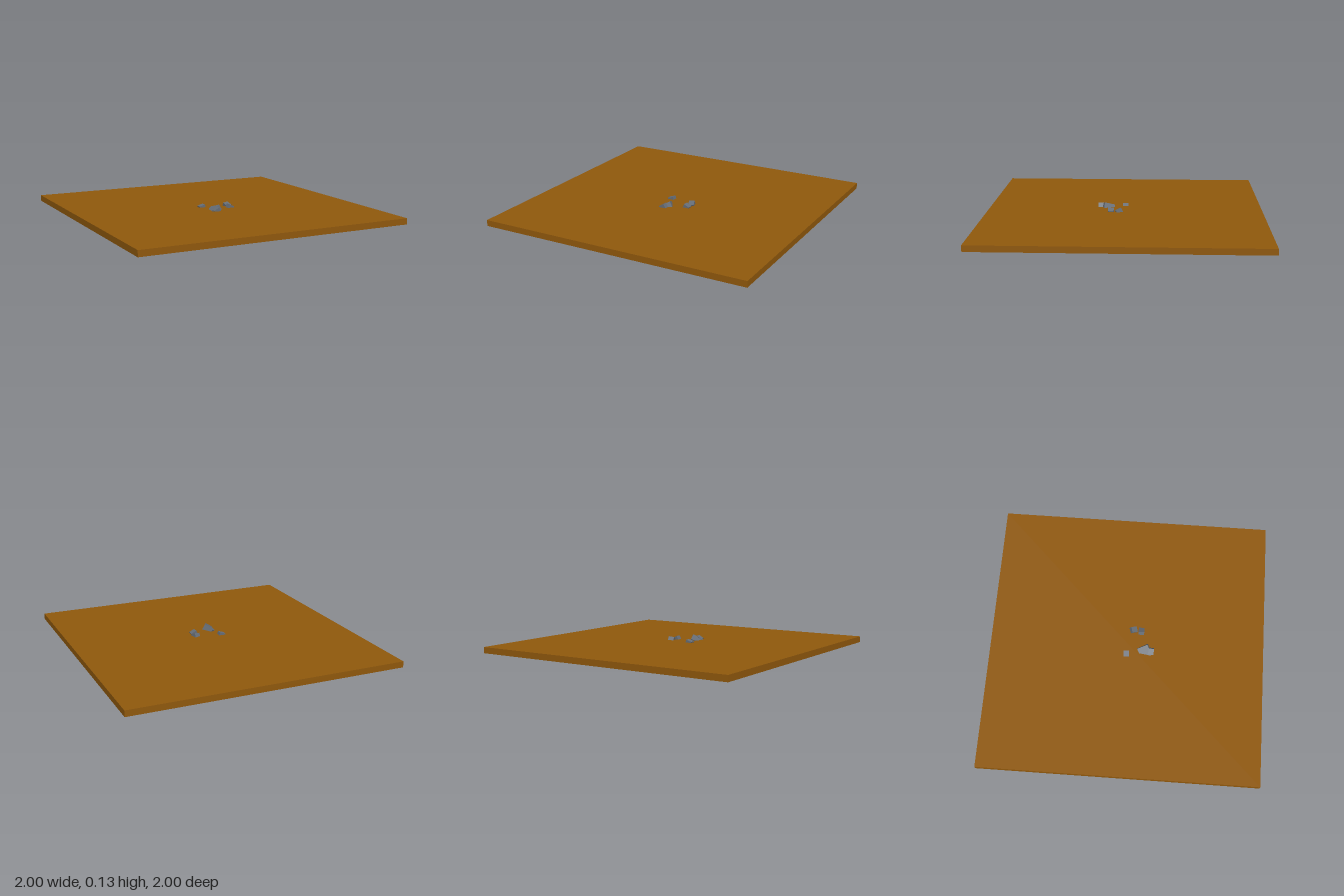
import * as THREE from 'three';

export function createModel() {
  const group = new THREE.Group();
  const earth = new THREE.MeshStandardMaterial({ color: 0x8f580c });
  earth.name = 'earth brown';
  const stone = new THREE.MeshStandardMaterial({ color: 0x656c75 });
  stone.name = 'stone grey';

  function box(name, material, size, position, rotation = [0, 0, 0]) {
    const mesh = new THREE.Mesh(new THREE.BoxGeometry(...size), material);
    mesh.name = name;
    mesh.position.set(...position);
    mesh.rotation.set(...rotation);
    group.add(mesh);
    return mesh;
  }

  // flat ground slab
  box('groundSlab', earth, [2, 0.044, 2], [0, 0.07, 0]);

  // small tilted stones half sunk into the slab
  box('backRightStone', stone, [0.045, 0.045, 0.04], [-0.083, 0.085, 0], [0, 0, 0.3]);
  box('frontRightStone', stone, [0.045, 0.045, 0.04], [-0.052, 0.09, 0.18], [0, 0, 0.55]);
  box('frontLeftStone', stone, [0.045, 0.07, 0.042], [0.087, 0.077, 0.1], [0, 0, -0.45]);
  box('backLeftStone', stone, [0.042, 0.07, 0.045], [0.102, 0.077, 0.033], [0.45, 0.3, 0]);

  // large stone balanced on one corner, leaning to the left
  const big = box('largeStone', stone, [0.082, 0.082, 0.082], [-0.045, 0.066, 0.135]);
  const up = new THREE.Vector3(0, 1, 0);
  const diagonal = new THREE.Vector3(1, 1, 1).normalize();
  const lean = new THREE.Vector3(0.05, 0.125, 0.03).normalize();
  big.quaternion.setFromUnitVectors(up, lean)
    .multiply(new THREE.Quaternion().setFromAxisAngle(up, 0.49))
    .multiply(new THREE.Quaternion().setFromUnitVectors(diagonal, up));

  return group;
}
